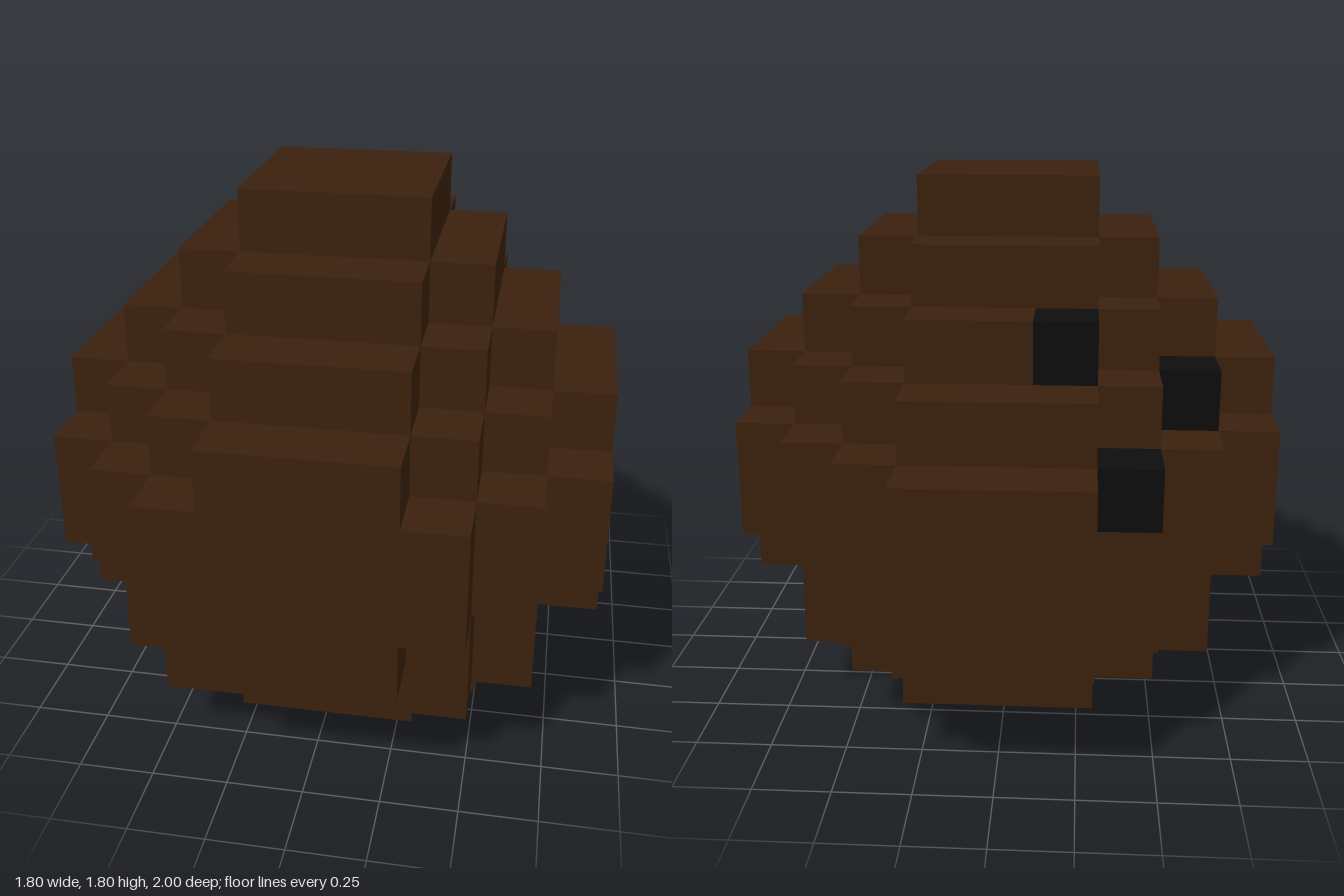
import * as THREE from 'three';

const U = 0.2; // block size

// Each layer from the bottom up: first row (from the back) and the half width of every row in blocks
const LAYERS = [
  { start: -2, rows: [1, 2, 2, 2, 1] },
  { start: -4, rows: [1, 2, 3, 3, 3, 3, 3, 2] },
  { start: -5, rows: [1, 2, 2, 3, 4, 4, 4, 3, 2, 1] },
  { start: -5, rows: [1, 2, 3, 4, 4, 4, 4, 4, 3, 2] },
  { start: -5, rows: [1, 2, 3, 4, 4, 4, 4, 4, 3, 2] },
  { start: -4, rows: [1, 2, 3, 4, 4, 4, 3, 2, 1] },
  { start: -3, rows: [1, 2, 3, 3, 3, 2, 1] },
  { start: -2, rows: [1, 2, 2, 2, 1] },
  { start: -1, rows: [1, 1, 1] },
];

// Dark spots replace single blocks at the end of a row: column, layer, row
const SPOTS = [
  { col: -2, layer: 4, row: -4 },
  { col: -3, layer: 5, row: -2 },
  { col: -1, layer: 6, row: -3 },
];

// Stepped outline of a layer, extruded one block high
function layerGeometry({ start, rows }, index) {
  const right = [];
  const left = [];
  rows.forEach((half, i) => {
    const row = start + i;
    const isSpot = SPOTS.some((s) => s.layer === index && s.row === row);
    const x1 = (half + 0.5) * U;
    const x0 = -(half + 0.5 - (isSpot ? 1 : 0)) * U;
    for (const z of [row * U, (row + 1) * U]) {
      right.push(new THREE.Vector2(x1, z));
      left.unshift(new THREE.Vector2(x0, z));
    }
  });
  // drop repeated points where neighbouring rows are equally wide
  const outline = [...right, ...left].filter(
    (p, i, all) => i === 0 || p.distanceTo(all[i - 1]) > 1e-6
  );
  const geometry = new THREE.ExtrudeGeometry(new THREE.Shape(outline), {
    depth: U,
    bevelEnabled: false,
  });
  geometry.rotateX(Math.PI / 2);
  geometry.translate(0, (index + 1) * U, 0);
  return geometry;
}

export function createModel() {
  const model = new THREE.Group();
  model.name = 'blockyCoconut';

  const brown = new THREE.MeshStandardMaterial({ color: 0x3b210d });
  brown.name = 'huskBrown';
  const black = new THREE.MeshStandardMaterial({ color: 0x0d0d0d });
  black.name = 'spotBlack';

  // Husk
  const husk = new THREE.Group();
  husk.name = 'husk';
  LAYERS.forEach((layer, i) => {
    const mesh = new THREE.Mesh(layerGeometry(layer, i), brown);
    mesh.name = `huskLayer${i + 1}`;
    husk.add(mesh);
  });
  model.add(husk);

  // Three dark spots
  const spots = new THREE.Group();
  spots.name = 'spots';
  SPOTS.forEach(({ col, layer, row }, i) => {
    const mesh = new THREE.Mesh(new THREE.BoxGeometry(U, U, U), black);
    mesh.position.set(col * U, (layer + 0.5) * U, (row + 0.5) * U);
    mesh.name = `spot${i + 1}`;
    spots.add(mesh);
  });
  model.add(spots);

  return model;
}
